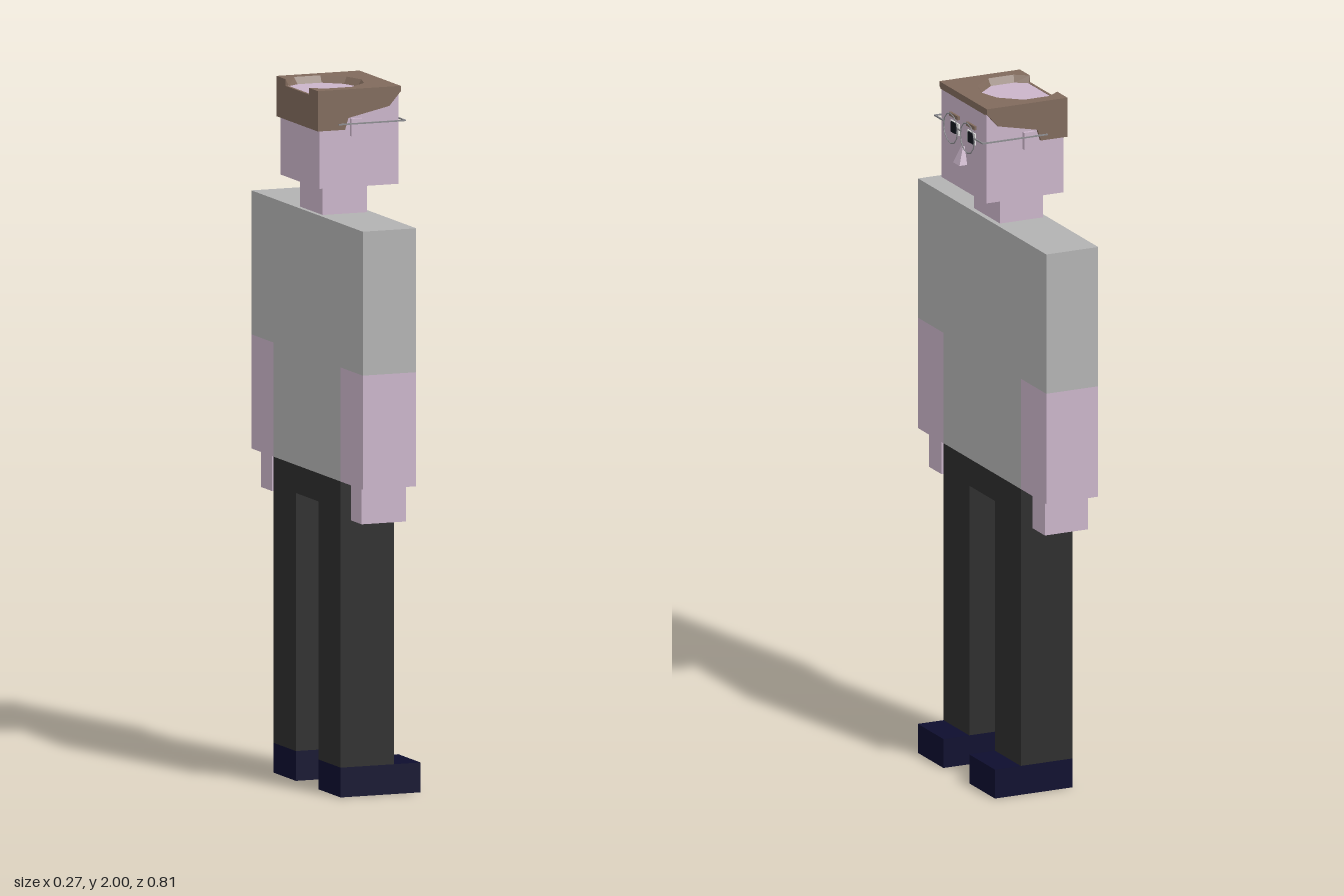
import * as THREE from 'three';

const mat = (name, color, side = THREE.FrontSide) => {
  const m = new THREE.MeshStandardMaterial({ color, side });
  m.name = name;
  return m;
};

export function createModel() {
  const skin = mat('skin', 0xcab4c9);
  const shirt = mat('shirt grey', 0xb2b2b2);
  const trousers = mat('trousers charcoal', 0x2d2d2d);
  const shoe = mat('shoe navy', 0x0d0d2e);
  const hair = mat('hair brown', 0x806a5c, THREE.DoubleSide);
  const metal = mat('glasses grey', 0x8c8c90);
  const white = mat('eye white', 0xe6e6e6);
  const black = mat('pupil black', 0x10141c);

  const root = new THREE.Group();
  root.name = 'man';

  const add = (name, geometry, material, parent = root) => {
    const mesh = new THREE.Mesh(geometry, material);
    mesh.name = name;
    parent.add(mesh);
    return mesh;
  };
  // Box given by its limits on each axis
  const box = (name, material, [x0, x1], [y0, y1], [z0, z1], parent) => {
    const g = new THREE.BoxGeometry(x1 - x0, y1 - y0, Math.abs(z1 - z0));
    g.translate((x0 + x1) / 2, (y0 + y1) / 2, (z0 + z1) / 2);
    return add(name, g, material, parent);
  };

  // Body; the figure looks along +x
  const depth = [-0.108, 0.055];
  box('torso', shirt, depth, [0.9, 1.635], [-0.245, 0.245]);
  box('hips', trousers, depth, [0.82, 0.9], [-0.082, 0.082]);
  box('neck', skin, [-0.095, 0.04], [1.635, 1.72], [-0.083, 0.083]);

  // Head and nose
  box('head', skin, [-0.13, 0.112], [1.72, 1.98], [-0.142, 0.142]);
  const nose = new THREE.BoxGeometry(0.024, 0.05, 0.04);
  const p = nose.attributes.position;
  for (let i = 0; i < p.count; i++) {
    if (p.getY(i) > 0) { // narrow the bridge and slope it back
      p.setZ(i, p.getZ(i) * 0.25);
      if (p.getX(i) > 0) p.setX(i, -0.006);
    }
  }
  nose.computeVertexNormals();
  nose.translate(0.124, 1.825, 0);
  add('nose', nose, skin);

  // Hair: a top plate with a bald patch open to the back
  const hairGroup = new THREE.Group();
  hairGroup.name = 'hair';
  root.add(hairGroup);
  const mirror = (half) => [...half, ...half.slice(0, -1).reverse().map(([x, z]) => [x, -z])];
  const rim = mirror([[-0.138, -0.086], [-0.1, -0.114], [-0.02, -0.114], [0.039, -0.063], [0.058, 0]]);
  const patch = mirror([[-0.13, -0.078], [-0.095, -0.1], [-0.022, -0.1], [0.028, -0.056], [0.045, 0]]);
  const outline = [[-0.138, 0.142], [0.115, 0.142], [0.115, -0.142], [-0.138, -0.142], ...rim];
  const plate = new THREE.ExtrudeGeometry(
    new THREE.Shape(outline.map(([x, z]) => new THREE.Vector2(x, z))),
    { depth: 0.02, bevelEnabled: false });
  plate.rotateX(-Math.PI / 2).translate(0, 1.98, 0);
  add('hairTop', plate, hair, hairGroup);

  // Sloped edge around the bald patch
  const slope = [];
  for (let i = 0; i < rim.length - 1; i++) {
    const a = [rim[i][0], 2, rim[i][1]], b = [rim[i + 1][0], 2, rim[i + 1][1]];
    const c = [patch[i][0], 1.981, patch[i][1]], d = [patch[i + 1][0], 1.981, patch[i + 1][1]];
    slope.push(...a, ...c, ...b, ...b, ...c, ...d);
  }
  const slopeGeo = new THREE.BufferGeometry();
  slopeGeo.setAttribute('position', new THREE.Float32BufferAttribute(slope, 3));
  slopeGeo.computeVertexNormals();
  add('hairInnerEdge', slopeGeo, hair, hairGroup);
  box('hairBack', hair, [-0.138, -0.13], [1.885, 1.981], [-0.142, 0.142], hairGroup);

  // Side hair profile
  const sideShape = new THREE.Shape([
    [-0.138, 1.885], [-0.055, 1.885], [-0.045, 1.918], [0.08, 1.945], [0.115, 1.985],
    [0.115, 2], [-0.138, 2],
  ].map(([x, y]) => new THREE.Vector2(x, y)));

  // Glasses bridge bar across the face
  const glasses = new THREE.Group();
  glasses.name = 'glasses';
  root.add(glasses);
  box('glassesBar', metal, [0.126, 0.13], [1.899, 1.903], [-0.153, -0.093], glasses);
  box('glassesBar', metal, [0.126, 0.13], [1.899, 1.903], [0.093, 0.153], glasses);
  box('glassesBridge', metal, [0.126, 0.13], [1.899, 1.903], [-0.012, 0.012], glasses);

  for (const s of [1, -1]) {
    const z = (a, b) => [s * a, s * b];
    // Arms and hands
    box('sleeve', shirt, depth, [1.225, 1.635], z(0.245, 0.407));
    box('forearm', skin, depth, [0.9, 1.225], z(0.245, 0.407));
    box('hand', skin, [-0.095, 0.04], [0.795, 0.9], z(0.288, 0.368));
    // Legs and shoes
    box('leg', trousers, depth, [0.085, 0.9], z(0.082, 0.245));
    box('shoe', shoe, [-0.108, 0.136], [0, 0.085], z(0.082, 0.245));
    // Side hair and ear
    const side = new THREE.ExtrudeGeometry(sideShape, { depth: 0.009, bevelEnabled: false });
    side.translate(0, 0, s > 0 ? 0.142 : -0.151);
    add('hairSide', side, hair, hairGroup);
    box('ear', skin, [-0.036, -0.002], [1.865, 1.915], z(0.142, 0.152));
    // Eye and eyebrow
    box('eyeWhite', white, [0.112, 0.116], [1.873, 1.907], z(0.027, 0.077));
    box('pupil', black, [0.114, 0.12], [1.875, 1.905], z(0.039, 0.069));
    box('eyebrow', hair, [0.112, 0.119], [1.919, 1.93], z(0.027, 0.08));
    // Lens rim and temple
    const lens = new THREE.TorusGeometry(0.044, 0.002, 4, 12);
    lens.rotateY(Math.PI / 2).translate(0.128, 1.89, s * 0.053);
    add('lensRim', lens, metal, glasses);
    box('temple', metal, [-0.075, 0.13], [1.899, 1.903], z(0.15, 0.154), glasses);
  }
  return root;
}
